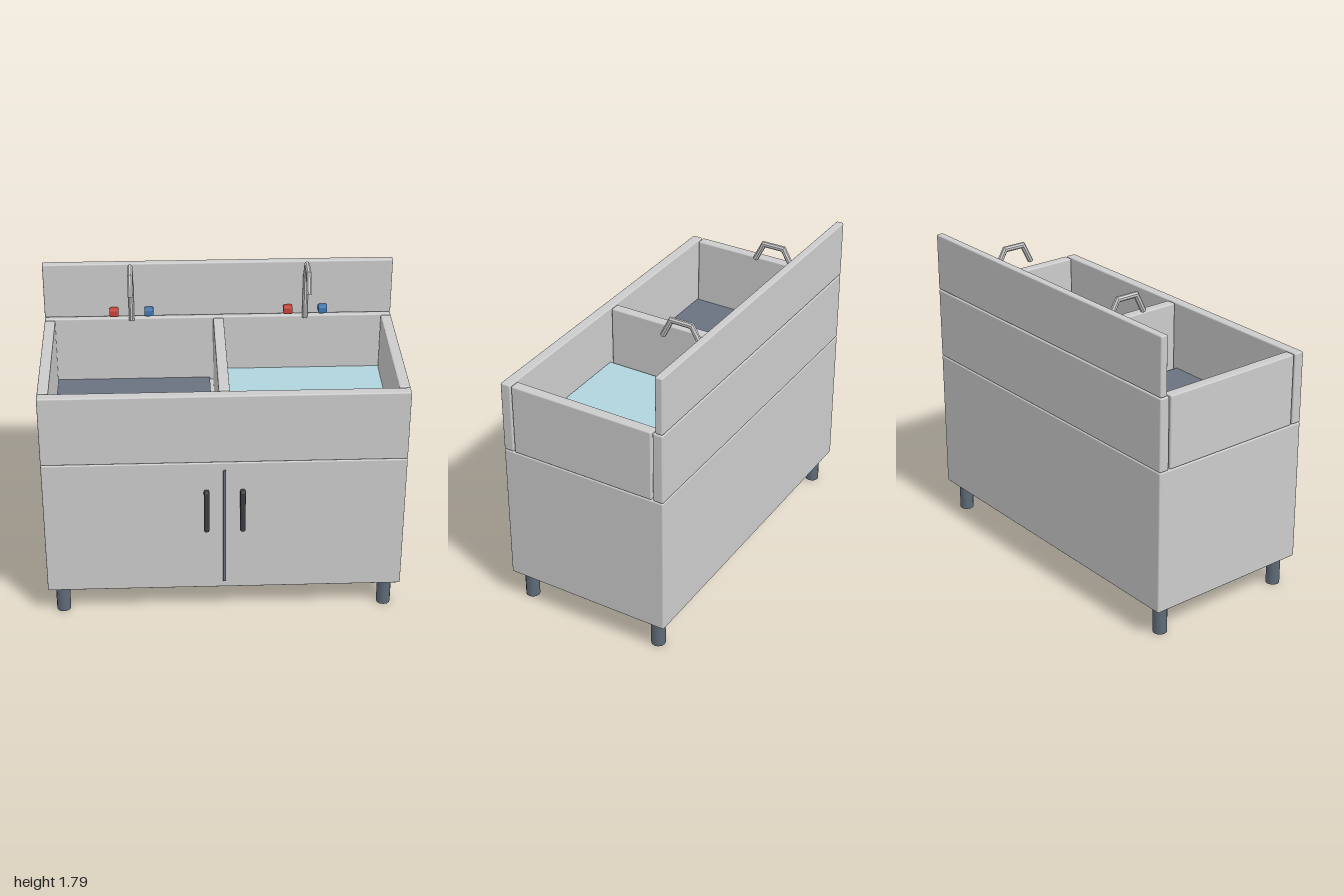
import * as THREE from 'three';
import { RoundedBoxGeometry } from 'three/addons/geometries/RoundedBoxGeometry.js';

const material = (color) => new THREE.MeshStandardMaterial({ color });

export function createModel() {
  const model = new THREE.Group();
  const steel = material(0xcccccc);
  const dark = material(0x3a3d40);
  const legMat = material(0x5f6b78);
  const slate = material(0x6b7280);
  const red = material(0xc8443a);
  const blue = material(0x4278b4);

  function add(name, geometry, mat, x = 0, y = 0, z = 0, parent = model) {
    const mesh = new THREE.Mesh(geometry, mat);
    mesh.name = name;
    mesh.position.set(x, y, z);
    parent.add(mesh);
    return mesh;
  }

  // Soft-edged box given by its min/max extents
  function box(name, mat, [x0, x1], [y0, y1], [z0, z1], r = 0.008, parent = model) {
    const geo = new RoundedBoxGeometry(x1 - x0, y1 - y0, z1 - z0, 2, r);
    return add(name, geo, mat, (x0 + x1) / 2, (y0 + y1) / 2, (z0 + z1) / 2, parent);
  }

  // Cabinet, basin walls and backsplash
  const wallY = [1.004, 1.418];
  const sideZ = [-0.447, 0.41];
  box('cabinet', steel, [-1, 1], [0.175, 1.002], [-0.517, 0.478]);
  box('frontWall', steel, [-1, 1], wallY, [0.418, 0.478]);
  box('backWall', steel, [-1, 1], wallY, [-0.517, -0.457]);
  box('rightWall', steel, [-1, -0.94], wallY, sideZ);
  box('leftWall', steel, [0.94, 1], wallY, sideZ);
  box('divider', steel, [-0.03, 0.03], wallY, sideZ);
  box('backsplash', steel, [-1, 1], [1.422, 1.755], [-0.517, -0.473]);

  // Basin floor with drain on one side, water on the other
  add('basinFloor', new THREE.BoxGeometry(0.9, 0.02, 0.87), slate, -0.5, 1.012, -0.022);
  add('drain', new THREE.CylinderGeometry(0.04, 0.04, 0.012, 16), dark, -0.5, 1.024, -0.022);
  add('water', new THREE.BoxGeometry(0.9, 0.076, 0.87), material(0xb0d4dd), 0.5, 1.04, -0.022);

  // Doors: seam and two handles
  box('doorSeam', slate, [-0.008, 0.008], [0.22, 0.955], [0.465, 0.487], 0.002);
  for (const x of [-0.1, 0.1]) {
    box('doorHandle', dark, [x - 0.015, x + 0.015], [0.572, 0.835], [0.476, 0.518], 0.011);
  }

  // Legs
  for (const x of [-0.92, 0.92]) {
    for (const z of [-0.436, 0.4]) {
      add('leg', new THREE.CylinderGeometry(0.04, 0.04, 0.18, 12), legMat, x, 0.09, z);
    }
  }

  // Angular spout: octagonal sections mitred at each bend of a path in the z/y plane
  function spoutGeometry(path, radius, sides) {
    const pts = path.map(([z, y]) => new THREE.Vector2(z, y));
    const positions = [], index = [];
    pts.forEach((p, i) => {
      const a = p.clone().sub(pts[Math.max(i - 1, 0)]).normalize();
      const b = pts[Math.min(i + 1, pts.length - 1)].clone().sub(p).normalize();
      const t = a.clone().add(b).normalize();
      const mitre = radius / t.dot(a.lengthSq() ? a : b);
      for (let s = 0; s < sides; s++) {
        const angle = ((s + 0.5) / sides) * Math.PI * 2;
        const across = Math.sin(angle) * mitre;
        positions.push(Math.cos(angle) * radius, p.y + t.x * across, p.x - t.y * across);
        if (i === 0) continue;
        const n = (s + 1) % sides, lo = (i - 1) * sides, hi = i * sides;
        index.push(lo + s, hi + s, lo + n, lo + n, hi + s, hi + n);
      }
    });
    // End caps
    const last = (pts.length - 1) * sides;
    for (let s = 1; s < sides - 1; s++) {
      index.push(0, s, s + 1, last, last + s + 1, last + s);
    }
    // Faces must point outwards: path runs up +y, ring turns from +x towards -z
    for (let i = 0; i < index.length; i += 3) {
      [index[i + 1], index[i + 2]] = [index[i + 2], index[i + 1]];
    }
    const geo = new THREE.BufferGeometry();
    geo.setAttribute('position', new THREE.Float32BufferAttribute(positions, 3));
    geo.setIndex(index);
    const flat = geo.toNonIndexed();
    flat.computeVertexNormals();
    return flat;
  }

  const spout = spoutGeometry(
    [[-0.451, 1.41], [-0.451, 1.665], [-0.39, 1.771], [-0.268, 1.771], [-0.217, 1.668]], 0.016, 8);

  // Two taps, each with a hot and a cold knob
  for (const x of [-0.5, 0.5]) {
    const tap = new THREE.Group();
    tap.name = 'tap';
    tap.position.x = x;
    model.add(tap);
    add('spout', spout, steel, 0, 0, 0, tap);
    box('hotKnob', red, [-0.126, -0.074], [1.447, 1.491], [-0.462, -0.414], 0.008, tap);
    box('coldKnob', blue, [0.074, 0.126], [1.447, 1.491], [-0.462, -0.414], 0.008, tap);
  }

  return model;
}
